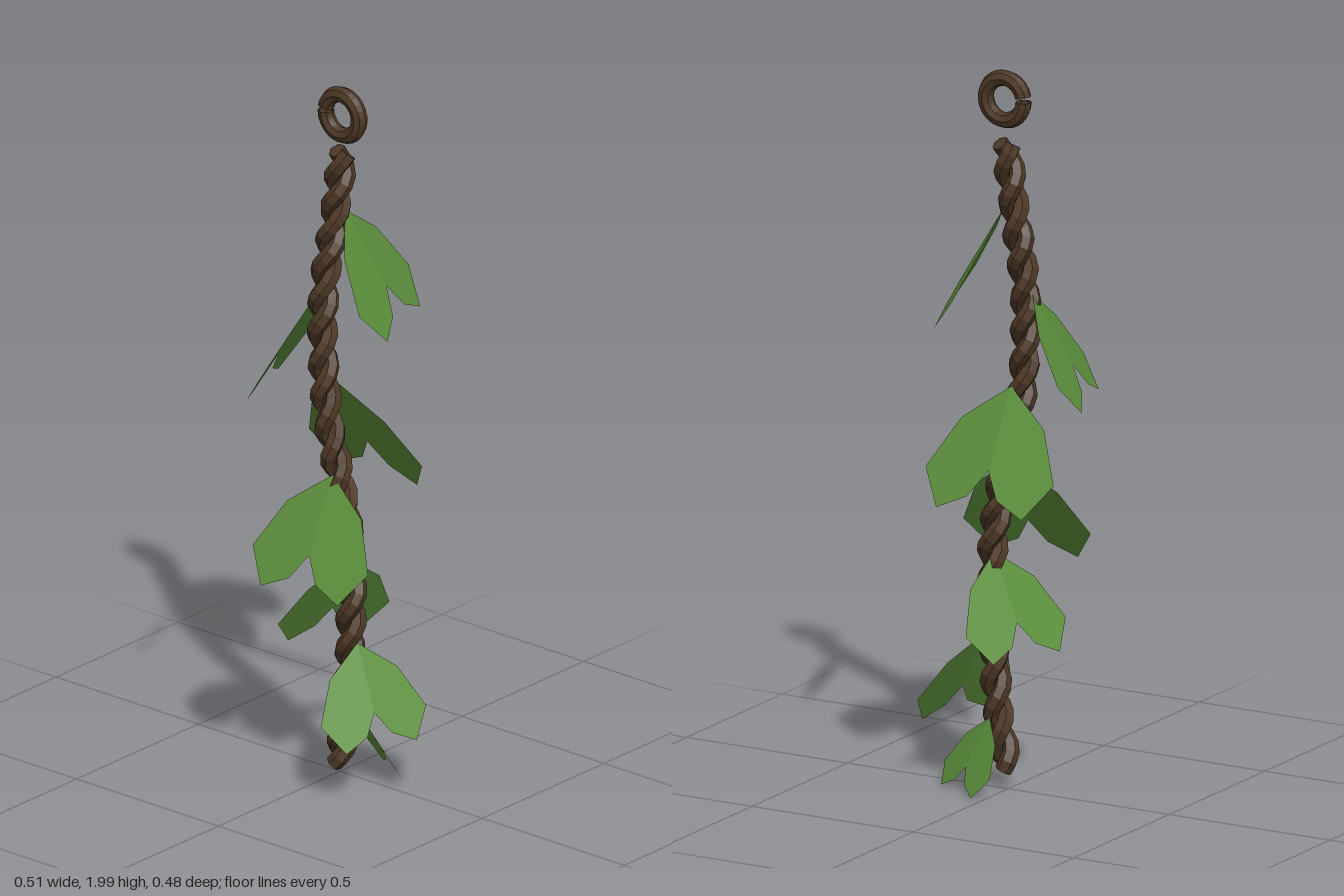
import * as THREE from 'three';

const V = (x, y, z) => new THREE.Vector3(x, y, z);

export function createModel() {
  const group = new THREE.Group();
  group.name = 'hangingVine';
  const bark = new THREE.MeshStandardMaterial({ color: 0x4d3826, flatShading: true, side: THREE.DoubleSide });
  bark.name = 'bark brown';
  const green = new THREE.MeshStandardMaterial({ color: 0x5c8f3b, flatShading: true, side: THREE.DoubleSide });
  green.name = 'leaf green';

  const add = (geometry, material, name) => {
    const mesh = new THREE.Mesh(geometry, material);
    mesh.name = name;
    group.add(mesh);
    return mesh;
  };

  // Hanging ring, left slightly open on one side
  const gap = 0.2;
  const ring = add(new THREE.TorusGeometry(0.0585, 0.0225, 8, 24, Math.PI * 2 - gap), bark, 'hangingRing');
  ring.rotation.z = Math.PI + gap / 2 - 0.1;
  ring.position.set(0.017, 1.919, 0.01);

  // Gently swaying centre line of the stem
  const spine = new THREE.CatmullRomCurve3([
    V(0, 1.8, -0.01), V(-0.022, 1.6, 0.0), V(-0.036, 1.4, 0.025), V(-0.032, 1.2, 0.032),
    V(0.0, 1.0, 0.04), V(0.045, 0.85, 0.044), V(0.075, 0.65, 0.045), V(0.065, 0.4, 0.035),
    V(0.045, 0.2, 0.025), V(0.022, 0.055, 0.03),
  ]);

  // Two strands twisted round each other
  const turns = 9.75, steps = 80;
  for (let s = 0; s < 2; s++) {
    const points = [];
    for (let i = 0; i <= steps; i++) {
      const t = i / steps;
      const a = t * turns * Math.PI * 2 + s * Math.PI;
      points.push(spine.getPointAt(t).add(V(Math.cos(a) * 0.02, 0, Math.sin(a) * 0.02)));
    }
    const path = new THREE.CatmullRomCurve3(points);
    add(new THREE.TubeGeometry(path, steps, 0.024, 6), bark, 'twistedStrand' + (s + 1));
    // Closed ends
    for (const t of [0, 1]) {
      const cap = add(new THREE.CircleGeometry(0.024, 6), bark, 'strandEnd');
      cap.position.copy(path.getPointAt(t));
      cap.lookAt(cap.position.clone().add(path.getTangentAt(t).multiplyScalar(t ? 1 : -1)));
    }
  }

  // Two-lobed leaf: [across, along] from the stalk, mirrored and slightly folded on the midrib
  const half = [[0, 0], [0.125, 0.1], [0.195, 0.245], [0.13, 0.35], [0.045, 0.31], [0, 0.235]];
  const leafPositions = [];
  for (const side of [1, -1]) {
    const p = half.map(([u, v]) => [u * side, -v, -Math.abs(u) * 0.07]);
    for (let i = 1; i < half.length - 1; i++) {
      // fan from the notch keeps the concave outline intact
      const tri = [p[5], p[i - 1], p[i]];
      if (side > 0) tri.reverse();
      leafPositions.push(...tri.flat());
    }
  }
  const leafGeometry = new THREE.BufferGeometry();
  leafGeometry.setAttribute('position', new THREE.Float32BufferAttribute(leafPositions, 3));
  // Make every face point outwards (+z)
  const pos = leafGeometry.attributes.position;
  for (let i = 0; i < pos.count; i += 3) {
    const [a, b, c] = [0, 1, 2].map((k) => new THREE.Vector3().fromBufferAttribute(pos, i + k));
    if (b.clone().sub(a).cross(c.clone().sub(a)).z < 0) {
      pos.setXYZ(i + 1, c.x, c.y, c.z);
      pos.setXYZ(i + 2, b.x, b.y, b.z);
    }
  }
  leafGeometry.computeVertexNormals();

  // Leaves down the stem: x, y, z of the stalk, heading in degrees from the front, size
  const leaves = [
    [0.0, 1.63, -0.02, 111, 1.0],
    [-0.06, 1.385, 0.025, -70, 0.94],
    [-0.012, 1.13, -0.005, 180, 1.02],
    [0.035, 0.9, 0.07, 6, 0.96],
    [0.065, 0.65, 0.035, -112, 0.86],
    [0.095, 0.42, 0.04, 69, 0.82],
    [0.055, 0.2, -0.005, 150, 0.62],
  ];
  leaves.forEach(([x, y, z, heading, size], i) => {
    const leaf = add(leafGeometry, green, 'leaf' + (i + 1));
    leaf.rotation.order = 'YXZ';
    leaf.rotation.set(-Math.PI / 6, THREE.MathUtils.degToRad(heading), 0);
    leaf.position.set(x, y, z);
    leaf.scale.setScalar(size);
  });

  return group;
}
